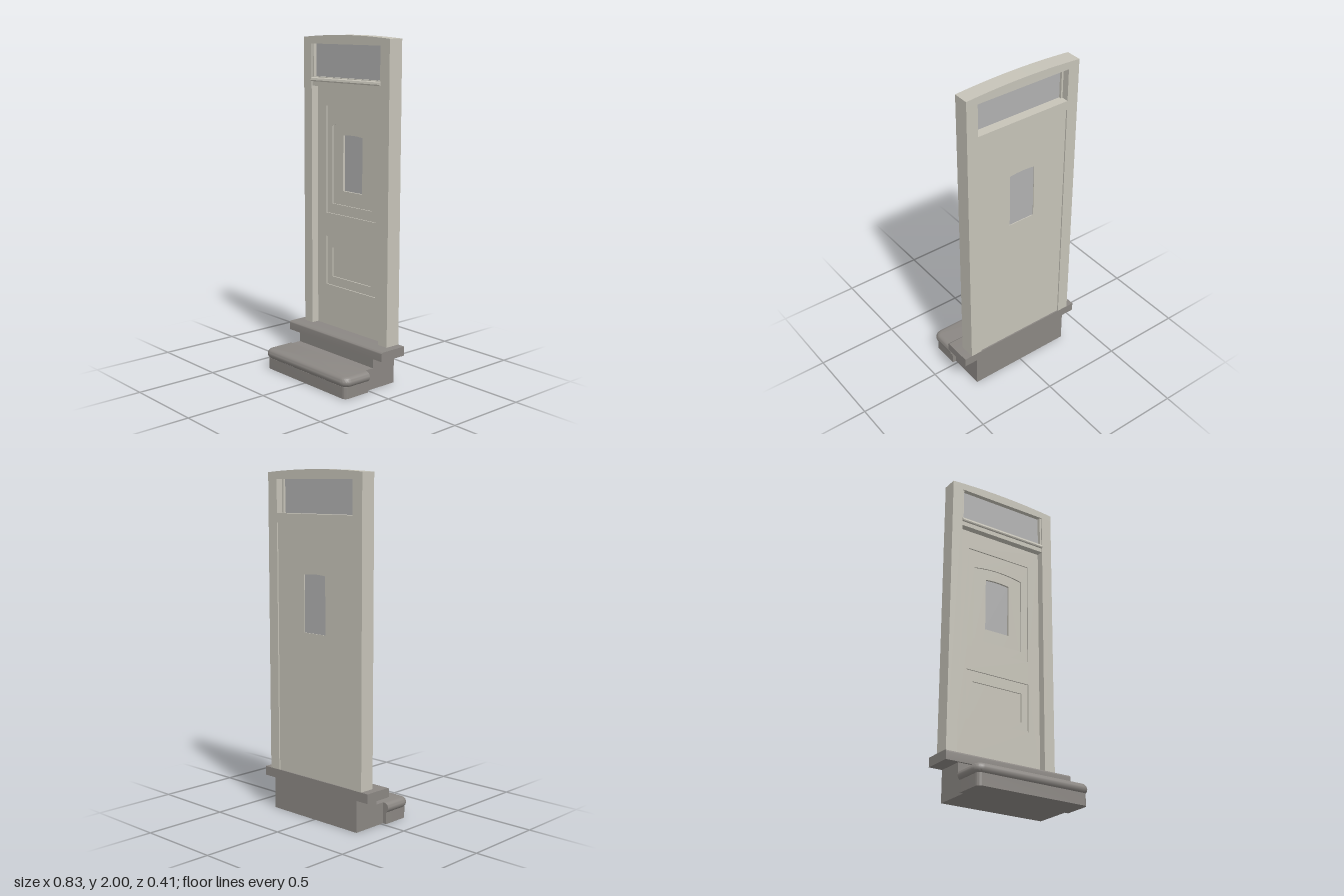
import * as THREE from 'three';
import { toCreasedNormals } from 'three/addons/utils/BufferGeometryUtils.js';

const paint = new THREE.MeshStandardMaterial({ color: 0xc6c3b8 });
const stone = new THREE.MeshStandardMaterial({ color: 0x8b8783 });
const glass = new THREE.MeshStandardMaterial({ color: 0xb0b0b0 });
const BACK = -0.207;

export function createModel() {
  const model = new THREE.Group();

  function add(name, geometry, material, parent = model) {
    const mesh = new THREE.Mesh(geometry, material);
    mesh.name = name;
    parent.add(mesh);
    return mesh;
  }

  // Box given by its limits on each axis
  function box(name, x0, x1, y0, y1, z0, z1, material, parent) {
    const mesh = add(name, new THREE.BoxGeometry(x1 - x0, y1 - y0, z1 - z0), material, parent);
    mesh.position.set((x0 + x1) / 2, (y0 + y1) / 2, (z0 + z1) / 2);
    return mesh;
  }

  // Rectangle outline whose top edge rises by "rise" in a shallow arch
  function outline(half, y0, y1, rise = 0, Type = THREE.Path) {
    const p = new Type();
    p.moveTo(-half, y0);
    p.lineTo(half, y0);
    p.lineTo(half, y1);
    if (rise) p.quadraticCurveTo(0, y1 + 2 * rise, -half, y1);
    else p.lineTo(-half, y1);
    p.closePath();
    return p;
  }

  // Upright slab between two depths, with holes
  function slab(name, shape, holes, z0, z1, material, parent) {
    shape.holes.push(...holes);
    const g = new THREE.ExtrudeGeometry(shape, { depth: z1 - z0, bevelEnabled: false, curveSegments: 24 });
    return add(name, g.translate(0, 0, z0), material, parent);
  }

  // Bar along x with a (z, y) cross-section
  function bar(name, section, half, material, parent) {
    const shape = new THREE.Shape(section.map(([z, y]) => new THREE.Vector2(-z, y)));
    const g = new THREE.ExtrudeGeometry(shape, { depth: 2 * half, bevelEnabled: false });
    g.translate(0, 0, -half).rotateY(Math.PI / 2);
    return add(name, toCreasedNormals(g, 0.7), material, parent);
  }

  // Step slab: rounded front corners, flat back, rings stacked as [outward offset, y]
  function stepSlab(name, rings, half, front, back, radius) {
    const n = 12;
    const loops = rings.map(([d, y]) => {
      const pts = [new THREE.Vector3(half + d, y, back)];
      for (const [side, start] of [[1, 0], [-1, Math.PI / 2]]) {
        for (let i = 0; i <= n; i++) {
          const a = start + (i / n) * Math.PI / 2;
          pts.push(new THREE.Vector3(
            side * (half - radius) + (radius + d) * Math.cos(a), y,
            front - radius + (radius + d) * Math.sin(a)));
        }
      }
      pts.push(new THREE.Vector3(-half - d, y, back));
      return pts;
    });
    const pos = [];
    const tri = (...p) => p.forEach((v) => pos.push(v.x, v.y, v.z));
    const count = loops[0].length;
    const bottom = loops[0], top = loops[loops.length - 1];
    const mid = (y) => new THREE.Vector3(0, y, (front + back) / 2);
    for (let i = 0; i < count; i++) {
      const k = (i + 1) % count;
      for (let r = 0; r < loops.length - 1; r++) {
        const a = loops[r], b = loops[r + 1];
        tri(a[i], b[i], b[k]);
        tri(a[i], b[k], a[k]);
      }
      tri(top[k], top[i], mid(top[0].y));
      tri(bottom[i], bottom[k], mid(bottom[0].y));
    }
    const g = new THREE.BufferGeometry();
    g.setAttribute('position', new THREE.Float32BufferAttribute(pos, 3));
    add(name, toCreasedNormals(g, 0.7), stone);
  }

  // Stone base, front step with bullnose tread, and sill
  box('base', -0.33, 0.33, 0, 0.125, BACK, 0.02, stone);
  box('riser', -0.33, 0.33, 0.125, 0.19, BACK, -0.04, stone);
  stepSlab('stepBlock', [[0, 0], [0, 0.07]], 0.353, 0.194, 0.018, 0.025);
  const nose = [];
  for (let i = 0; i <= 12; i++) {
    const a = -Math.PI / 2 + (i / 12) * Math.PI;
    nose.push([0.03 * Math.cos(a), 0.095 + 0.03 * Math.sin(a)]);
  }
  stepSlab('stepTread', nose, 0.338, 0.177, 0.018, 0.02);
  const sill = [[BACK, 0.185], [-0.029, 0.185]];
  for (let i = 0; i <= 5; i++) {
    const a = (i / 5) * Math.PI / 2;
    sill.push([-0.041 + 0.012 * Math.cos(a), 0.228 + 0.012 * Math.sin(a)]);
  }
  sill.push([BACK, 0.24]);
  bar('sill', sill, 0.413, stone);

  // Frame: posts, arched head and transom bar with nosing
  const frame = new THREE.Group();
  frame.name = 'frame';
  model.add(frame);
  for (const s of [-1, 1]) {
    const post = box('post', -0.035, 0.035, 0.24, 1.95, BACK, -0.113, paint, frame);
    post.position.x = s * 0.33;
    const stop = box('transomStop', -0.006, 0.006, 1.75, 1.95, -0.165, -0.12, paint, frame);
    stop.position.x = s * 0.29;
  }
  slab('head', outline(0.365, 1.947, 1.985, 0.015, THREE.Shape), [], BACK, -0.113, paint, frame);
  box('transomBar', -0.296, 0.296, 1.7, 1.755, BACK, -0.118, paint, frame);
  bar('transomNosing', [[-0.125, 1.727], [-0.107, 1.727], [-0.104, 1.734], [-0.108, 1.746], [-0.125, 1.755]],
    0.295, paint, frame);
  box('transomGlass', -0.286, 0.286, 1.753, 1.949, -0.15, -0.142, glass, frame);

  // Door leaf: three layers give the stepped, sunken panels
  const door = new THREE.Group();
  door.name = 'door';
  model.add(door);
  const leaf = () => outline(0.296, 0.24, 1.7, 0, THREE.Shape);
  const pane = () => outline(0.083, 1.085, 1.415, 0.006);
  slab('doorFace', leaf(), [outline(0.215, 0.94, 1.585), outline(0.215, 0.495, 0.795)], -0.168, -0.16, paint, door);
  slab('doorPanels', leaf(), [outline(0.17, 1.0, 1.47, 0.018), outline(0.17, 0.55, 0.73)], -0.176, -0.168, paint, door);
  slab('doorBack', leaf(), [pane()], -0.199, -0.176, paint, door);
  box('doorGlass', -0.085, 0.085, 1.083, 1.422, -0.194, -0.189, glass, door);

  return model;
}
